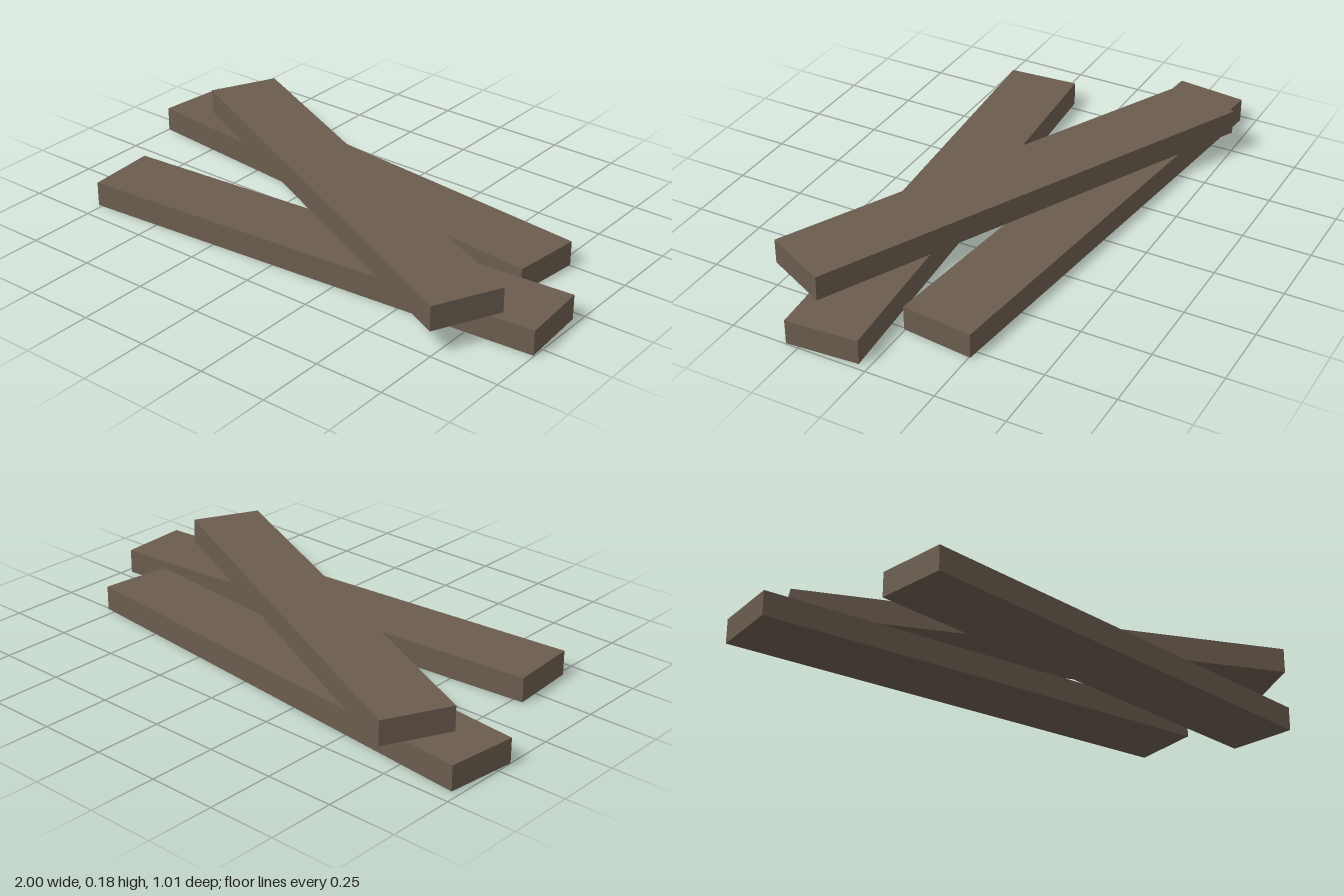
import * as THREE from 'three';

const LENGTH = 1.767, THICKNESS = 0.09, WIDTH = 0.261;

export function createModel() {
  const group = new THREE.Group();
  group.name = 'plankPile';

  const wood = new THREE.MeshStandardMaterial({ color: 0x6b5d4f });
  wood.name = 'weatheredWood';

  const plankGeometry = new THREE.BoxGeometry(LENGTH, THICKNESS, WIDTH);

  // name, centre x, centre z, layer from the ground, turn about y
  const planks = [
    ['backPlank', -0.107, -0.22, 0, -0.108],
    ['frontPlank', 0.106, 0.233, 0, 0.0748],
    ['topPlank', 0.0075, -0.0025, 1, -0.451],
  ];

  for (const [name, x, z, layer, turn] of planks) {
    const plank = new THREE.Mesh(plankGeometry, wood);
    plank.name = name;
    plank.position.set(x, (layer + 0.5) * THICKNESS, z);
    plank.rotation.y = turn;
    group.add(plank);
  }
  return group;
}
